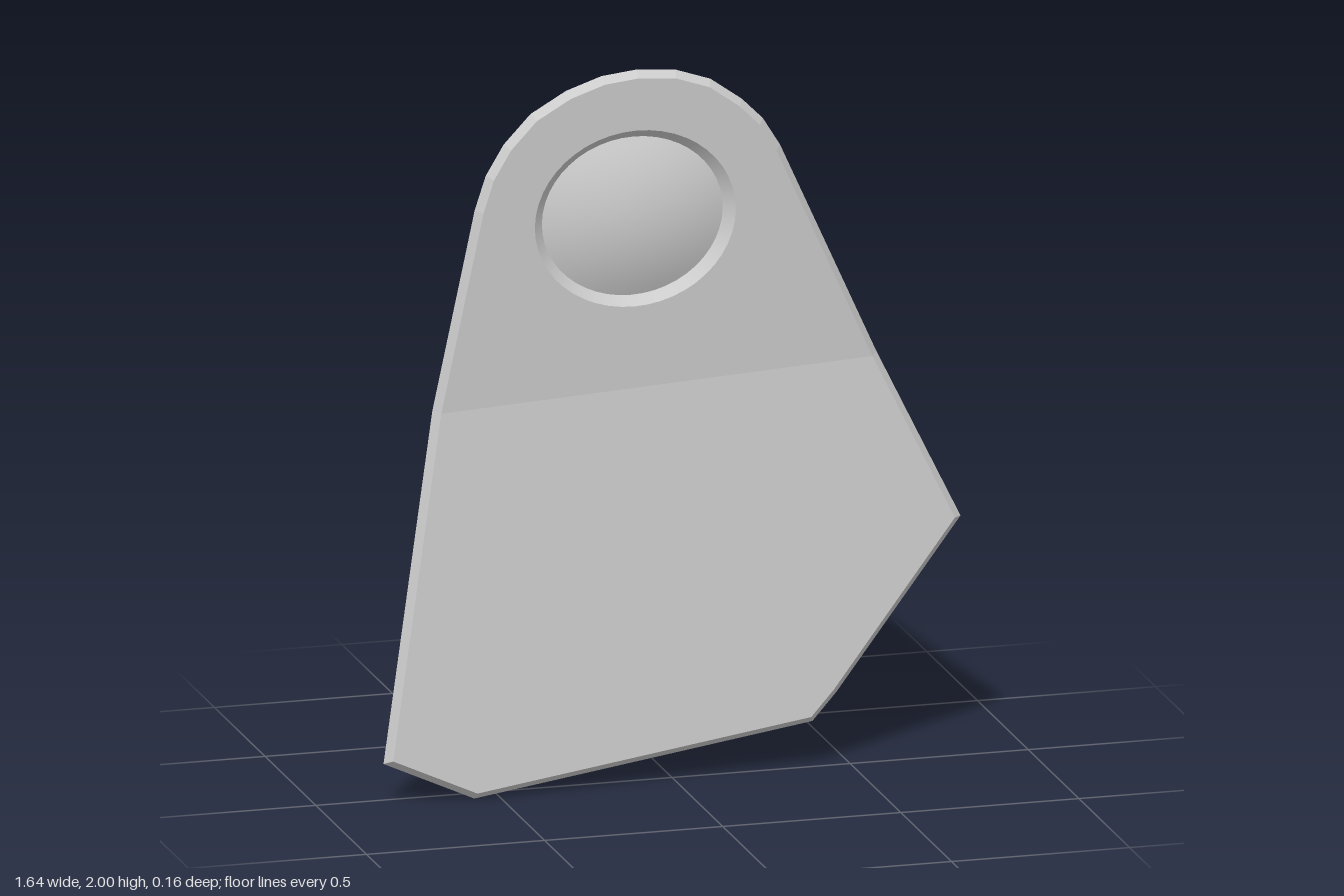
import * as THREE from 'three';

const T = 0.046;                       // plate thickness
const SEG = 48;                        // sides of the round dimple
const C = { x: -0.105, y: 1.583, rx: 0.285, ry: 0.25 };

// front surface: two planes meeting in a shallow crease
const frontZ = (x, y) => Math.max(0.0584 - 0.031 * x - 0.068 * y, -0.0661 - 0.0363 * x + 0.044 * y);

// outer ridge of the plate, counter-clockwise; FOLD and the last point end the crease
const FOLD = 5;
const outline = [
  [-0.825, 0.12], [-0.57, 0.003], [0.39, 0.135], [0.46, 0.21], [0.82, 0.665], [0.59, 1.14],
  [0.31, 1.75], [0.26, 1.83], [0.2, 1.89], [0.11, 1.955], [0.01, 1.99], [-0.1, 2.0],
  [-0.2, 1.99], [-0.3, 1.957], [-0.4, 1.9], [-0.475, 1.82], [-0.525, 1.735], [-0.555, 1.64],
  [-0.575, 1.54], [-0.668, 1.08],
].map(([x, y]) => new THREE.Vector2(x, y));

// mitred inward offset of a closed outline
function inset(pts, d) {
  const n = pts.length;
  const normal = (a, b) => new THREE.Vector2(a.y - b.y, b.x - a.x).normalize();
  return pts.map((p, i) => {
    const n1 = normal(pts[(i + n - 1) % n], p), n2 = normal(p, pts[(i + 1) % n]);
    const m = n1.clone().add(n2).normalize();
    return p.clone().addScaledVector(m, d / m.dot(n1));
  });
}

// lay a flat geometry onto the bent surface
function bend(geo, offset) {
  const p = geo.attributes.position;
  for (let i = 0; i < p.count; i++) p.setZ(i, p.getZ(i) + frontZ(p.getX(i), p.getY(i)) + offset);
  return geo;
}

function panel(shape, back) {
  const geo = new THREE.ShapeGeometry(shape);
  if (back) geo.index.array.reverse();
  const out = bend(geo, back ? -T : 0).toNonIndexed();
  out.computeVertexNormals();
  return out;
}

// bevel strip between two closed loops, b lying in front of a
function strip(a, za, b, zb) {
  const pos = [], n = a.length;
  const put = (p, o) => pos.push(p.x, p.y, frontZ(p.x, p.y) + o);
  for (let i = 0; i < n; i++) {
    const j = (i + 1) % n;
    put(a[i], za); put(a[j], za); put(b[j], zb);
    put(a[i], za); put(b[j], zb); put(b[i], zb);
  }
  const geo = new THREE.BufferGeometry();
  geo.setAttribute('position', new THREE.Float32BufferAttribute(pos, 3));
  geo.computeVertexNormals();
  return geo;
}

// elliptical surface of revolution set into the plate
function round(profile, back) {
  const pts = profile.map(([r, h]) => new THREE.Vector2(r, h));
  if (back) pts.reverse();
  const geo = new THREE.LatheGeometry(pts, SEG);
  geo.rotateX(Math.PI / 2).scale(C.rx / 0.27, C.ry / 0.27, 1).translate(C.x, C.y, 0);
  return bend(geo, back ? -T : 0);
}

export function createModel() {
  const group = new THREE.Group();
  const mat = new THREE.MeshStandardMaterial({ color: 0xcccccc });
  const add = (name, geo) => {
    const mesh = new THREE.Mesh(geo, mat);
    mesh.name = name;
    group.add(mesh);
  };

  // flat panels either side of the crease
  const face = inset(outline, 0.019);
  const lower = new THREE.Shape([...face.slice(0, FOLD + 1), face[face.length - 1]]);
  const upper = new THREE.Shape(face.slice(FOLD));
  const hole = Array.from({ length: SEG }, (_, i) => {
    const a = (-i / SEG) * Math.PI * 2;
    return new THREE.Vector2(C.x + C.rx * Math.cos(a), C.y + C.ry * Math.sin(a));
  });
  upper.holes.push(new THREE.Path(hole));

  // dimple: sloped rim pushed back, with a dome rising forward inside it
  const R = 0.27, r = 0.243, depth = -0.03, rise = 0.05;
  const rim = [[R, 0], [r, depth]];
  const dome = Array.from({ length: 11 }, (_, i) => {
    const k = 1 - i / 10;
    return [r * k, depth + rise * (1 - k * k)];
  });

  for (const back of [false, true]) {
    const side = back ? 'back' : 'front';
    add(side + 'LowerPanel', panel(lower, back));
    add(side + 'UpperPanel', panel(upper, back));
    add(side + 'DimpleRim', round(rim, back));
    add(side + 'DimpleDome', round(dome, back));
  }

  // bevelled edge with a ridge halfway through the thickness
  add('frontBevel', strip(outline, -T / 2, face, 0));
  add('backBevel', strip(face, -T, outline, -T / 2));
  return group;
}
